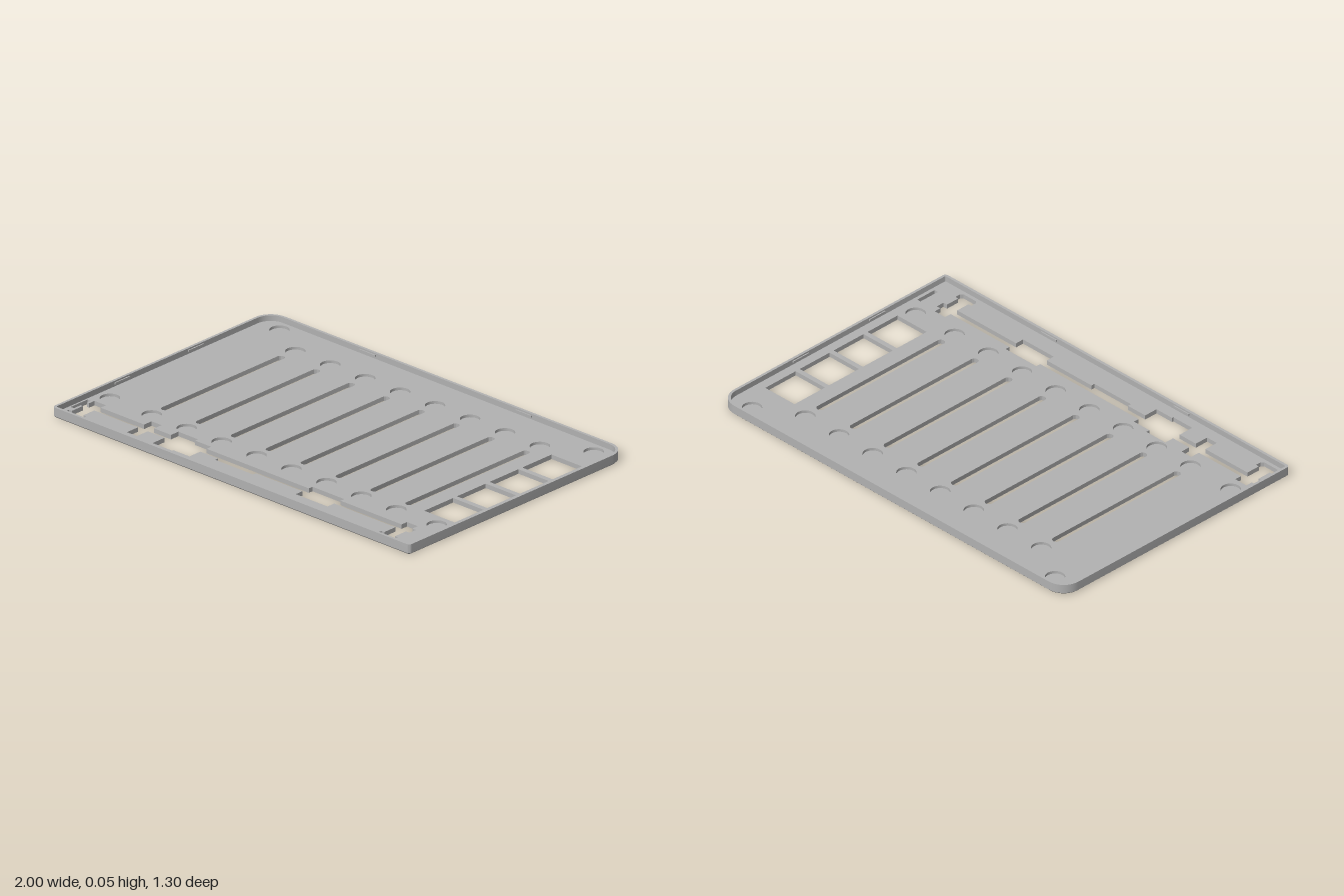
import * as THREE from 'three';
import { toCreasedNormals } from 'three/addons/utils/BufferGeometryUtils.js';

const W = 1, D = 0.65, H = 0.045;           // half width, half depth, wall height
const WALL = 0.012, FLOOR = 0.02, POCKET = 0.008;

// Tray outline inset by d, as points (x, -z): round back corners, nearly square front ones
function outline(d) {
  const pts = [];
  const corners = [[1, -1, 0.016, -90], [1, 1, 0.085, 0], [-1, 1, 0.085, 90], [-1, -1, 0.016, 180]];
  for (const [sx, sy, radius, start] of corners) {
    const r = radius - d;
    for (let i = 0; i <= 10; i++) {
      const a = THREE.MathUtils.degToRad(start + i * 9);
      pts.push(new THREE.Vector2(
        sx * (W - radius) + r * Math.cos(a),
        sy * (D - radius) + r * Math.sin(a)));
    }
  }
  return pts;
}

// Wall skin lofted through [inset, height] rings
function loftWall(rings) {
  const loops = rings.map(([d, y]) => outline(d).map(p => [p.x, y, -p.y]));
  const pos = [];
  for (let k = 0; k < loops.length - 1; k++) {
    const a = loops[k], b = loops[k + 1], n = a.length;
    for (let i = 0; i < n; i++) {
      const j = (i + 1) % n;
      pos.push(...a[i], ...a[j], ...b[j], ...a[i], ...b[j], ...b[i]);
    }
  }
  const g = new THREE.BufferGeometry();
  g.setAttribute('position', new THREE.Float32BufferAttribute(pos, 3));
  g.computeVertexNormals();
  return toCreasedNormals(g, 0.5);
}

// Hole helpers, in x and z
const pathOf = pts => new THREE.Path(pts.map(([x, z]) => new THREE.Vector2(x, -z)));
const rectHole = (x0, x1, z0, z1) => pathOf([[x0, z0], [x1, z0], [x1, z1], [x0, z1]]);

function slotHole(x, z0, z1, r) {
  const p = new THREE.Path();
  p.absarc(x, -z0 - r, r, 0, Math.PI, false);
  p.absarc(x, -z1 + r, r, Math.PI, Math.PI * 2, false);
  p.closePath();
  return p;
}

function roundHole(x, z, r) {
  const p = new THREE.Path();
  p.absarc(x, -z, r, 0, Math.PI * 2, false);
  return p;
}

// Long stepped cut-out: [x0, x1, back z, front z, has a wider foot]
function steppedHole(steps) {
  const back = [], front = [];
  for (const [x0, x1, z0, z1, foot] of steps) {
    back.push([x0, z0], [x1, z0]);
    if (foot) {
      const f = 0.016, zf = 0.585;
      front.push([x0, zf], [x0 - f, zf], [x0 - f, z1 - 0.01], [x0 - f + 0.01, z1],
        [x1 + f - 0.01, z1], [x1 + f, z1 - 0.01], [x1 + f, zf], [x1, zf]);
    } else front.push([x0, z1], [x1, z1]);
  }
  return pathOf([...back, ...front.reverse()]);
}

function floorLayer(y0, y1, holes) {
  const s = new THREE.Shape(outline(0.006));
  s.holes.push(...holes);
  const g = new THREE.ExtrudeGeometry(s, { depth: y1 - y0, bevelEnabled: false, curveSegments: 12 });
  g.rotateX(-Math.PI / 2).translate(0, y0, 0);
  return toCreasedNormals(g, 0.6);
}

export function createModel() {
  const group = new THREE.Group();
  group.name = 'tray';
  const grey = new THREE.MeshStandardMaterial({ color: 0xb2b2b2 });
  grey.name = 'grey plastic';
  const add = (name, geometry) => {
    const m = new THREE.Mesh(geometry, grey);
    m.name = name;
    group.add(m);
    return m;
  };

  // Through holes: vent slots, square windows, stepped cut-out and small side slot
  const slotX = Array.from({ length: 8 }, (_, i) => -0.688 + i * 0.1957);
  const through = slotX.map(x => slotHole(x, -0.4, 0.325, 0.0175));
  for (const [z0, z1] of [[-0.44, -0.265], [-0.242, -0.07], [-0.047, 0.125], [0.148, 0.32]])
    through.push(rectHole(0.775, 0.945, z0, z1));
  through.push(rectHole(0.953, 0.972, 0.46, 0.56));
  const a = 0.482, b = 0.52;                // edges of the narrow channel
  through.push(steppedHole([
    [-0.98, -0.962, 0.46, 0.56], [-0.962, -0.95, a, b],
    [-0.95, -0.886, 0.45, 0.622, true], [-0.886, -0.642, a, b],
    [-0.642, -0.586, 0.438, 0.585], [-0.586, -0.492, a, b],
    [-0.492, -0.382, 0.438, 0.592], [-0.382, -0.292, 0.455, 0.585],
    [-0.292, -0.192, a, b], [-0.192, 0.02, a, 0.537], [0.02, 0.28, a, b],
    [0.28, 0.458, 0.46, 0.56], [0.458, 0.8, a, b],
    [0.8, 0.86, 0.45, 0.622, true], [0.86, 0.88, a, b]
  ]));

  // Shallow round pockets at both ends of each slot and near the corners
  const spots = [[-0.88, -0.58], [0.88, -0.58], [-0.925, 0.385], [0.905, 0.385]];
  for (const x of slotX) spots.push([x, -0.47], [x, 0.388]);
  const pockets = spots.map(([x, z]) => roundHole(x, z, 0.042));

  add('floorBase', floorLayer(0, POCKET, through));
  add('floorTop', floorLayer(POCKET, FLOOR, [...through, ...pockets]));

  // Outer wall with a small bottom chamfer
  add('rimWall', loftWall([[0.006, 0], [0, 0.006], [0, H], [WALL, H], [WALL, FLOOR - 0.002]]));

  // Snap ridges on the inside of the walls
  const ridge = (x, z, sx, sz) =>
    add('snapRidge', new THREE.BoxGeometry(sx, 0.008, sz)).position.set(x, 0.034, z);
  const inset = WALL + 0.001;
  for (const x of [-0.44, 0.435]) ridge(x, -D + inset, 0.09, 0.008);
  for (const x of [-0.385, 0.385]) ridge(x, D - inset, 0.09, 0.008);
  for (const s of [-1, 1])
    for (const z of [-0.195, 0.245]) ridge(s * (W - inset), z, 0.008, 0.09);

  return group;
}
